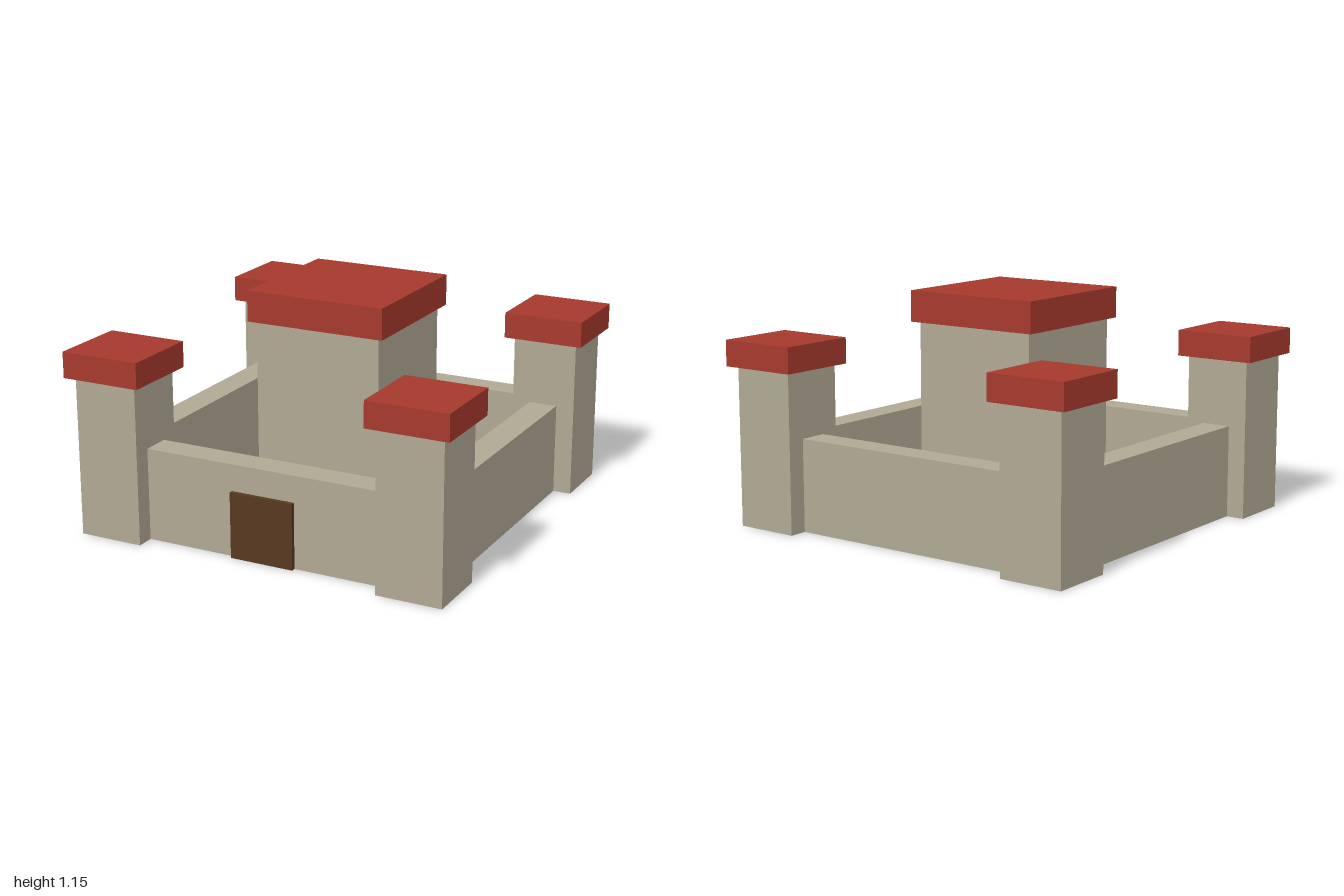
import * as THREE from 'three';

export function createModel() {
  const castle = new THREE.Group();
  castle.name = 'castle';

  const material = (name, color) => {
    const m = new THREE.MeshStandardMaterial({ color });
    m.name = name;
    return m;
  };
  const stone = material('stone', 0xb0a894);
  const roofRed = material('roofRed', 0xa6392c);
  const wood = material('wood', 0x573920);

  // Box standing on height y
  const block = (parent, name, mat, [w, h, d], [x, y, z]) => {
    const mesh = new THREE.Mesh(new THREE.BoxGeometry(w, h, d), mat);
    mesh.name = name;
    mesh.position.set(x, y + h / 2, z);
    parent.add(mesh);
  };

  // Square tower with an overhanging flat roof
  const tower = (name, x, z, width, height, roofWidth, roofHeight) => {
    const group = new THREE.Group();
    group.name = name;
    group.position.set(x, 0, z);
    block(group, 'towerBody', stone, [width, height, width], [0, 0, 0]);
    block(group, 'towerRoof', roofRed, [roofWidth, roofHeight, roofWidth], [0, height, 0]);
    castle.add(group);
  };

  const c = 0.795; // distance of walls and corner towers from the centre
  const wallLength = 1.26, wallHeight = 0.463, wallDepth = 0.145;

  tower('keep', 0, 0, 0.66, 1.0, 0.725, 0.155);

  // Corner towers and the curtain walls between them
  for (const s of [-1, 1]) {
    for (const t of [-1, 1]) {
      tower(`${t > 0 ? 'front' : 'back'}${s > 0 ? 'Left' : 'Right'}Tower`, s * c, t * c, 0.33, 0.8, 0.41, 0.13);
    }
    block(castle, s > 0 ? 'frontWall' : 'backWall', stone, [wallLength, wallHeight, wallDepth], [0, 0, s * c]);
    block(castle, s > 0 ? 'leftWall' : 'rightWall', stone, [wallDepth, wallHeight, wallLength], [s * c, 0, 0]);
  }

  // Gate on the outside of the front wall
  block(castle, 'gate', wood, [0.33, 0.33, 0.022], [0, 0, 0.879]);

  return castle;
}
